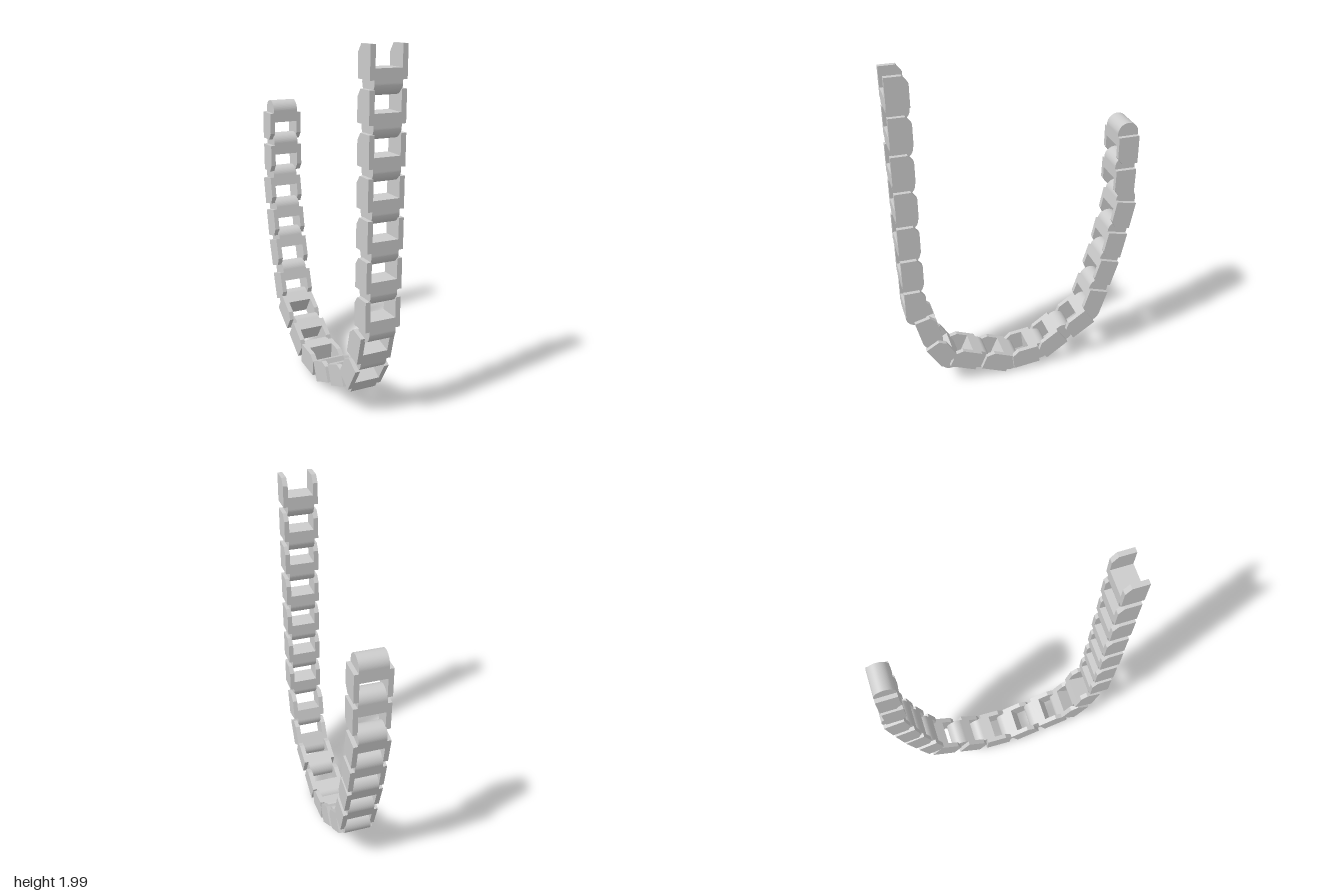
import * as THREE from 'three';

const HALF = 0.06;     // half thickness of a link
const BODY = 0.165;    // length of the forked body
const TAIL = 0.24;     // distance from fork tips to end of the round tail

// Extrudes a (z, y) outline to a width centred on x
function extrudeAcross(shape, width) {
  const g = new THREE.ExtrudeGeometry(shape, { depth: width, bevelEnabled: false, curveSegments: 24 });
  g.translate(0, 0, -width / 2);
  g.rotateY(-Math.PI / 2);
  return g;
}

export function createModel() {
  const chain = new THREE.Group();
  chain.name = 'linkChain';
  const material = new THREE.MeshStandardMaterial({ color: 0xcccccc });

  // Side plate: rectangle with its inner fork corner cut off
  const plate = new THREE.Shape([
    [-HALF, -BODY], [HALF, -BODY], [HALF, 0], [-0.03, 0], [-HALF, -0.04],
  ].map(([z, y]) => new THREE.Vector2(z, y)));
  const plateGeometry = extrudeAcross(plate, 0.028);

  // Cross bar closing the fork
  const barGeometry = new THREE.BoxGeometry(0.146, 0.055, HALF * 2);

  // Tail: block ending in a half cylinder
  const tail = new THREE.Shape();
  tail.moveTo(HALF, -BODY + 0.01);
  tail.lineTo(-HALF, -BODY + 0.01);
  tail.lineTo(-HALF, -TAIL + HALF);
  tail.absarc(0, -TAIL + HALF, HALF, Math.PI, Math.PI * 2, false);
  const tailGeometry = extrudeAcross(tail, 0.154);

  function add(parent, name, geometry, x = 0, y = 0) {
    const mesh = new THREE.Mesh(geometry, material);
    mesh.name = name;
    mesh.position.set(x, y, 0);
    parent.add(mesh);
  }

  // Fork end of each link: z, y, tilt in degrees
  const links = [
    [0.633, 2.0, 0], [0.631, 1.79, 0], [0.635, 1.58, 0], [0.633, 1.368, 0],
    [0.635, 1.157, 0], [0.631, 0.945, 0], [0.626, 0.733, 0],
    [0.582, 0.529, 14], [0.534, 0.333, 31], [0.423, 0.206, 67],
    [0.228, 0.138, 67], [0.048, 0.09, 96], [-0.138, 0.111, 125],
    [-0.312, 0.228, 124], [-0.45, 0.344, 162], [-0.513, 0.55, 163],
    [-0.566, 0.735, 168], [-0.608, 0.937, 169], [-0.618, 1.148, 179],
    [-0.624, 1.35, 180],
  ];
  links.forEach(([z, y, tilt], i) => {
    const link = new THREE.Group();
    link.name = `link${i + 1}`;
    add(link, 'leftPlate', plateGeometry, 0.087);
    add(link, 'rightPlate', plateGeometry, -0.087);
    add(link, 'crossBar', barGeometry, 0, -BODY + 0.0275);
    add(link, 'roundTail', tailGeometry);
    link.position.set(0, y, z);
    link.rotation.x = THREE.MathUtils.degToRad(tilt);
    chain.add(link);
  });
  return chain;
}
